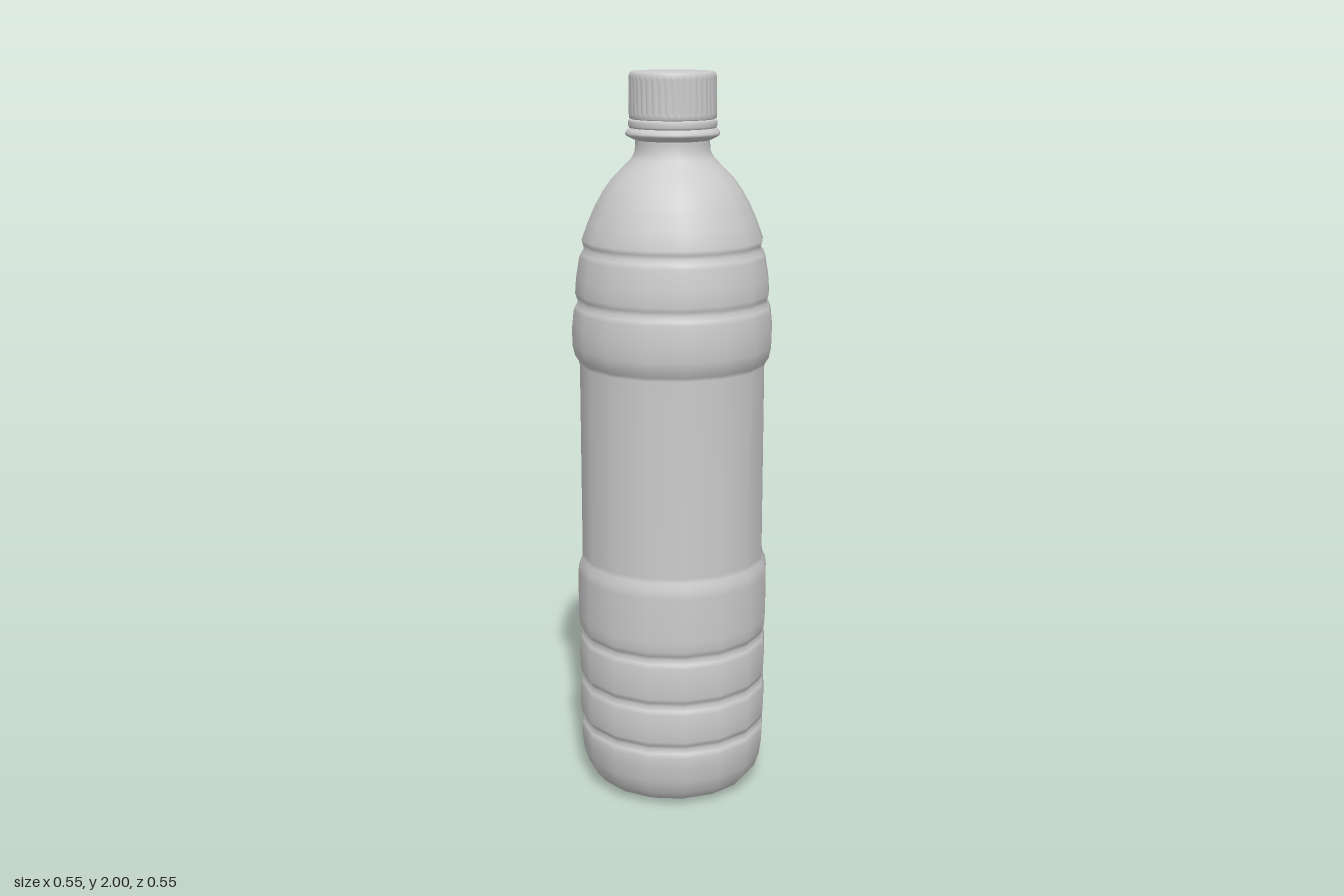
import * as THREE from 'three';

const grey = () => new THREE.MeshStandardMaterial({ color: 0xcccccc, side: THREE.DoubleSide });

// Turned part from a [radius, height] profile running bottom to top
function turned(name, profile, sides) {
  const points = profile.map(([r, y]) => new THREE.Vector2(r, y));
  const mesh = new THREE.Mesh(new THREE.LatheGeometry(points, sides), grey());
  mesh.name = name;
  return mesh;
}

// Small rounded notch in the wall; r is the wall radius below and above it
const groove = (y, below, above, depth = 0.012) => [
  [below, y - 0.024], [below - 0.004, y - 0.012],
  [Math.min(below, above) - depth, y],
  [above - 0.004, y + 0.012], [above, y + 0.024],
];

export function createModel() {
  const bottle = new THREE.Group();
  bottle.name = 'bottle';

  // Sixteen-sided body: rounded base, ribbed lower band, label waist, ribbed shoulder
  bottle.add(turned('body', [
    [0, 0.008], [0.13, 0.006], [0.165, 0], [0.195, 0.004], [0.222, 0.018], [0.244, 0.045], [0.257, 0.085], [0.263, 0.13],
    ...groove(0.183, 0.264, 0.265),
    [0.267, 0.245],
    ...groove(0.31, 0.265, 0.265),
    [0.267, 0.38],
    ...groove(0.447, 0.265, 0.265),
    [0.268, 0.50], [0.268, 0.625], [0.265, 0.65], [0.257, 0.668], [0.255, 0.68],
    [0.255, 0.95], [0.255, 1.222],
    [0.258, 1.232], [0.268, 1.248], [0.274, 1.275], [0.275, 1.32],
    ...groove(1.394, 0.27, 0.265, 0.007),
    [0.262, 1.46],
    ...groove(1.537, 0.253, 0.246, 0.006),
    [0.228, 1.61], [0.21, 1.65], [0.202, 1.665], [0.196, 1.675], [0.188, 1.69],
    [0.165, 1.722], [0.135, 1.752], [0.112, 1.775], [0.102, 1.792], [0.1, 1.815], [0.1, 1.87],
  ], 16));

  // Support flange on the neck
  bottle.add(turned('neckFlange', [
    [0.098, 1.822], [0.115, 1.83], [0.126, 1.836], [0.127, 1.842], [0.122, 1.849], [0.112, 1.856], [0.098, 1.86],
  ], 16));

  // Tamper ring under the cap
  bottle.add(turned('tamperRing', [
    [0.098, 1.853], [0.115, 1.855], [0.118, 1.86], [0.118, 1.872], [0.115, 1.877], [0.098, 1.879],
  ], 48));

  // Screw cap, with fine grip ribs pressed into its side wall
  const cap = turned('cap', [
    [0.095, 1.877], [0.112, 1.878], [0.116, 1.881], [0.116, 1.892], [0.116, 1.896],
    [0.116, 1.976], [0.116, 1.984], [0.115, 1.992], [0.112, 1.998], [0.108, 2], [0.104, 2], [0, 2],
  ], 160);
  const p = cap.geometry.attributes.position;
  for (let i = 0; i < p.count; i++) {
    const y = p.getY(i);
    const column = Math.floor(i / 12);
    if (y > 1.894 && y < 1.98 && column % 4 === 2) {
      p.setX(i, p.getX(i) * 0.975);
      p.setZ(i, p.getZ(i) * 0.975);
    }
  }
  cap.geometry.computeVertexNormals();
  bottle.add(cap);

  return bottle;
}
